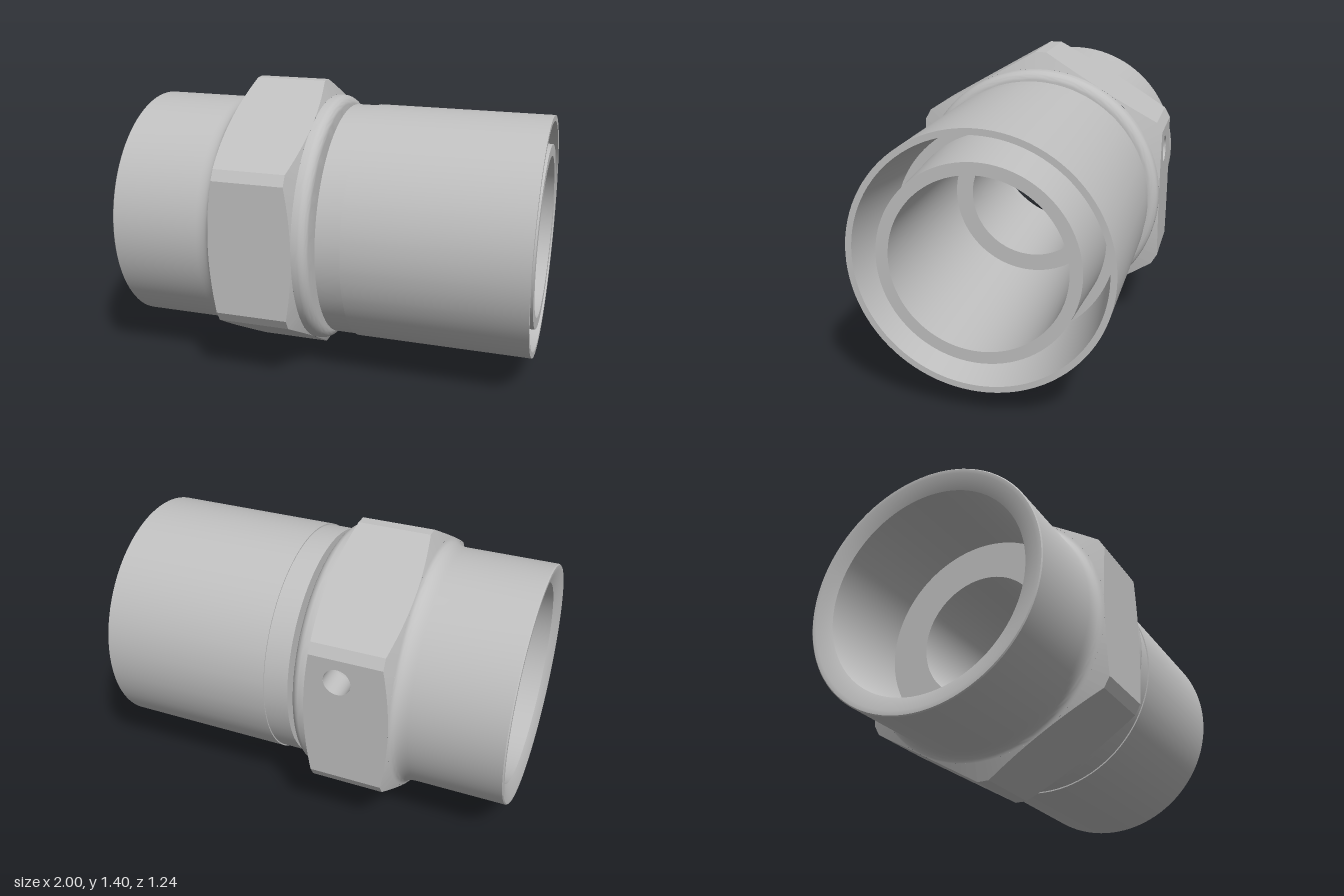
import * as THREE from 'three';
import { toCreasedNormals } from 'three/addons/utils/BufferGeometryUtils.js';

const FLAT = 0.62, CORNER = 0.7;          // hexagon: half across flats, half across corners
const HALF = Math.acos(FLAT / CORNER);    // half angle covered by one flat
const leftEdge = r => -0.48 + (r - FLAT) * 0.375;
const rightEdge = r => -0.07 - (r - FLAT) * 0.375;

// Turned part about the x axis, from [radius, x] points
function turned(points, segments = 96) {
  const g = new THREE.LatheGeometry(points.map(p => new THREE.Vector2(p[0], p[1])), segments);
  g.rotateZ(-Math.PI / 2);
  return toCreasedNormals(g, 0.5);
}

// One flat of the hexagon with chamfer arcs, facing +z
function flatFace(hole) {
  const n = 24, low = [], high = [];
  for (let i = 0; i <= n; i++) {
    const a = -HALF + (2 * HALF * i) / n, r = FLAT / Math.cos(a), u = FLAT * Math.tan(a);
    low.push(new THREE.Vector2(rightEdge(r), u));
    high.unshift(new THREE.Vector2(leftEdge(r), u));
  }
  const shape = new THREE.Shape([...low, ...high]);
  if (hole) {
    const path = new THREE.Path();
    path.absarc(hole.x, hole.y, hole.r, 0, Math.PI * 2, true);
    shape.holes.push(path);
  }
  return new THREE.ShapeGeometry(shape, 24).translate(0, 0, FLAT);
}

// Conical chamfers beside one flat, plus the narrow corner strip
function chamfers() {
  const pos = [];
  const p = (a, r, x) => [x, r * Math.sin(a), r * Math.cos(a)];
  const quad = (a, b, c, d) => pos.push(...a, ...b, ...c, ...a, ...c, ...d);
  const angles = [];
  for (let i = 0; i <= 24; i++) angles.push(-HALF + (2 * HALF * i) / 24);
  angles.push(Math.PI / 3 - HALF);
  const radius = a => Math.min(CORNER, FLAT / Math.cos(a));
  for (let i = 0; i < angles.length - 1; i++) {
    const a = angles[i], b = angles[i + 1];
    const ra = radius(a), rb = i === 24 ? CORNER : radius(b);
    quad(p(a, FLAT, leftEdge(FLAT)), p(a, ra, leftEdge(ra)), p(b, rb, leftEdge(rb)), p(b, FLAT, leftEdge(FLAT)));
    quad(p(b, FLAT, rightEdge(FLAT)), p(b, rb, rightEdge(rb)), p(a, ra, rightEdge(ra)), p(a, FLAT, rightEdge(FLAT)));
  }
  const c = angles[24], d = angles[25], l = leftEdge(CORNER), r = rightEdge(CORNER);
  quad(p(c, CORNER, l), p(c, CORNER, r), p(d, CORNER, r), p(d, CORNER, l));
  const g = new THREE.BufferGeometry();
  g.setAttribute('position', new THREE.Float32BufferAttribute(pos, 3));
  g.computeVertexNormals();
  return g;
}

export function createModel() {
  const model = new THREE.Group();
  model.name = 'pipeFitting';
  const steel = new THREE.MeshStandardMaterial({ color: 0xc0c0c0 });
  steel.name = 'steel grey';
  const body = new THREE.Group();
  body.name = 'body';
  body.position.y = 0.7;
  model.add(body);
  const add = (geometry, name, parent = body) => {
    const mesh = new THREE.Mesh(geometry, steel);
    mesh.name = name;
    parent.add(mesh);
    return mesh;
  };

  // Socket end: stepped bore, bevelled mouth, outer sleeve and fillet up to the hexagon
  const fillet = new THREE.QuadraticBezierCurve(
    new THREE.Vector2(0.583, -0.56), new THREE.Vector2(0.583, -0.49), new THREE.Vector2(FLAT, -0.48));
  add(turned([[0.305, -0.5], [0.49, -0.5], [0.49, -0.97], [0.558, -1], [0.578, -1], [0.583, -0.995],
    ...fillet.getPoints(10).map(v => [v.x, v.y])]), 'socketEnd');

  // Rounded collar and neck groove
  const round = [];
  for (let i = 0; i <= 10; i++) {
    const a = (i / 10) * Math.PI / 2;
    round.push([0.572 + 0.048 * Math.cos(a), -0.048 + 0.048 * Math.sin(a)]);
  }
  add(turned([[FLAT, -0.07], ...round, [0.48, 0], [0.48, 0.03], [0.577, 0.03]]), 'collarAndNeck');

  // Spigot end: outer sleeve, tapered ring groove, inner tube and stepped through bore
  add(turned([[0.577, 0.03], [0.577, 0.15], [0.583, 0.15], [0.583, 1], [0.555, 1],
    [0.515, 0.6], [0.47, 0.6], [0.445, 1], [0.39, 1], [0.39, 0.1], [0.305, 0.1], [0.305, -0.5]]), 'spigotEnd');

  // Hexagonal nut, with a drilled hole in the rear flat
  const nut = new THREE.Group();
  nut.name = 'hexNut';
  body.add(nut);
  const hole = { x: -0.235, y: -0.21, r: 0.066 };
  for (let k = 0; k < 6; k++) {
    const side = new THREE.Group();
    side.name = 'nutSide' + (k + 1);
    side.rotation.x = (k * Math.PI) / 3;
    nut.add(side);
    add(flatFace(k === 3 ? hole : null), 'nutFlat', side);
    add(chamfers(), 'nutChamfer', side);
    if (k === 3) {
      // Hole wall and conical bottom, seen from inside
      const g = new THREE.LatheGeometry([new THREE.Vector2(hole.r, 0), new THREE.Vector2(hole.r, -0.14),
        new THREE.Vector2(0, -0.18)], 32);
      g.rotateX(Math.PI / 2);
      add(toCreasedNormals(g, 0.5), 'drilledHole', side).position.set(hole.x, hole.y, FLAT);
    }
  }
  return model;
}
